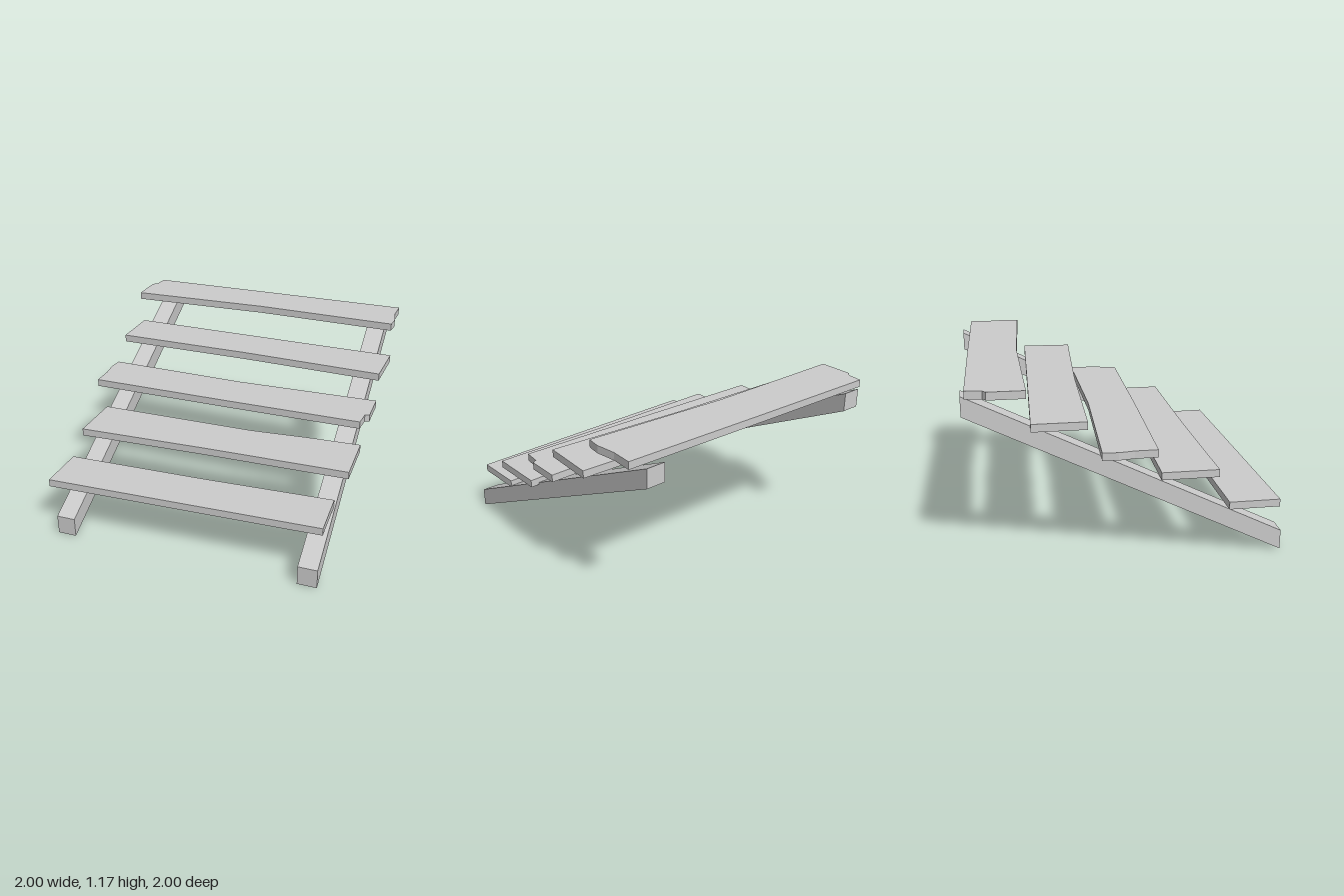
import * as THREE from 'three';

const material = new THREE.MeshStandardMaterial({ color: 0xcccccc, flatShading: true });

// Uneven tread outlines as [x, z], with the height of each underside
const treads = [
  { y: 0.33, outline: [[-0.965, 0.63], [0, 0.61], [0.88, 0.575], [0.89, 0.91], [0, 0.935], [-0.965, 0.96]] },
  { y: 0.53, outline: [[-0.905, 0.205], [0.2, 0.21], [0.6, 0.18], [0.95, 0.165], [0.955, 0.54], [0, 0.55], [-0.905, 0.575]] },
  { y: 0.715, outline: [[-0.99, -0.18], [0, -0.14], [0.98, -0.155], [0.98, 0.07], [0.95, 0.085], [0.94, 0.195],
    [0, 0.185], [-0.985, 0.165], [-0.985, 0.02], [-1, -0.08]] },
  { y: 0.905, outline: [[-0.96, -0.6], [0, -0.565], [0.995, -0.53], [0.98, -0.18], [0, -0.235], [-0.96, -0.26]] },
  { y: 1.122, outline: [[-0.95, -0.975], [0, -0.96], [0.97, -0.94], [0.965, -0.8], [0.985, -0.67], [0.975, -0.58],
    [0, -0.63], [-0.99, -0.62], [-0.99, -0.85], [-0.96, -0.87]] },
];

function extrude(points, depth) {
  const shape = new THREE.Shape(points.map(([a, b]) => new THREE.Vector2(a, b)));
  return new THREE.ExtrudeGeometry(shape, { depth, bevelEnabled: false });
}

export function createModel() {
  const group = new THREE.Group();
  const add = (name, geometry) => {
    const mesh = new THREE.Mesh(geometry, material);
    mesh.name = name;
    group.add(mesh);
  };

  // Sloping side beams with upright end cuts, profile in [-z, y]
  const beam = [[-1, 0], [1, 1], [1, 1.127], [-1, 0.13]];
  for (const [name, x] of [['rightBeam', -0.905], ['leftBeam', 0.763]]) {
    const geometry = extrude(beam, 0.128);
    geometry.rotateY(Math.PI / 2);
    geometry.translate(x, 0, 0);
    add(name, geometry);
  }

  // Rough-cut plank treads
  treads.forEach(({ y, outline }, i) => {
    const geometry = extrude(outline.map(([x, z]) => [x, -z]), 0.05);
    geometry.rotateX(-Math.PI / 2);
    geometry.translate(0, y, 0);
    add(`tread${i + 1}`, geometry);
  });

  return group;
}
